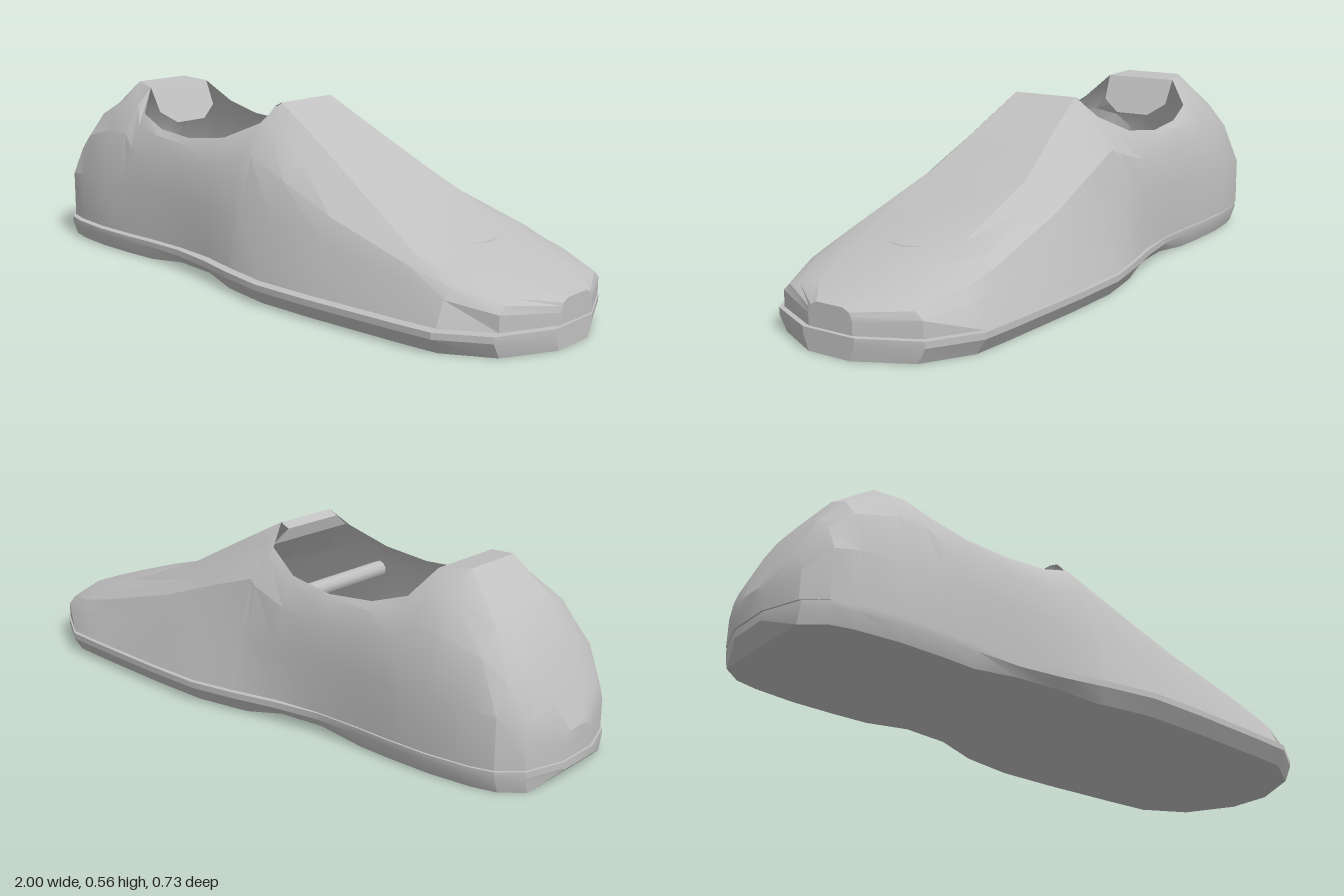
import * as THREE from 'three';
import { toCreasedNormals } from 'three/addons/utils/BufferGeometryUtils.js';

const grey = new THREE.MeshStandardMaterial({ color: 0xc0c0c0, side: THREE.DoubleSide });
grey.name = 'grey';
const { lerp } = THREE.MathUtils;

// Skin a row of cross-sections; keep(i, j) can leave out a quad
function loft(rows, keep = () => true) {
  const n = rows[0].length, index = [];
  for (let i = 0; i < rows.length - 1; i++) {
    for (let j = 0; j < n - 1; j++) {
      if (!keep(i, j)) continue;
      const a = i * n + j, b = a + n;
      index.push(a, b, a + 1, a + 1, b, b + 1);
    }
  }
  const g = new THREE.BufferGeometry();
  g.setAttribute('position', new THREE.Float32BufferAttribute(rows.flat(2), 3));
  g.setIndex(index);
  return toCreasedNormals(g, 0.4);
}

// Add flat faces at both ends by folding the end sections onto z = 0
function capped(rows) {
  const fold = (row) => row.map(([x, y]) => [x, y, 0]);
  return [fold(rows[0]), ...rows, fold(rows[rows.length - 1])];
}

// Heel to toe: x, half width at the base, then height and half width of rim and top
const stations = [
  [-1, 0.07, 0.14, 0.06, 0.15, 0.04],
  [-0.96, 0.19, 0.22, 0.15, 0.24, 0.08],
  [-0.9, 0.245, 0.35, 0.14, 0.37, 0.07],
  [-0.83, 0.265, 0.43, 0.16, 0.46, 0.09],
  [-0.7, 0.28, 0.49, 0.17, 0.55, 0.1],
  [-0.61, 0.28, 0.49, 0.18, 0.54, 0.125],
  [-0.56, 0.28, 0.43, 0.22, 0.465, 0.195],
  [-0.45, 0.275, 0.41, 0.235, 0.43, 0.215],
  [-0.3, 0.275, 0.4, 0.24, 0.42, 0.225],
  [-0.15, 0.29, 0.42, 0.23, 0.44, 0.215],
  [-0.03, 0.318, 0.475, 0.195, 0.495, 0.175],
  [0, 0.325, 0.5, 0.168, 0.555, 0.11],
  [0.15, 0.352, 0.425, 0.19, 0.475, 0.13],
  [0.35, 0.35, 0.32, 0.22, 0.365, 0.165],
  [0.65, 0.335, 0.225, 0.245, 0.245, 0.16],
  [0.78, 0.325, 0.185, 0.23, 0.21, 0.14],
  [0.92, 0.24, 0.15, 0.18, 0.165, 0.11],
  [1, 0.075, 0.13, 0.065, 0.14, 0.045],
];

// The upper leans slightly to its right
const lean = -0.008;

function upperGeometry() {
  const rows = capped(stations.map(([x, base, rimY, rimW, topY, topW]) => {
    // Waist of the side wall, where it turns inwards
    const waistY = Math.min(0.23, lerp(0.07, topY, 0.5));
    const waistW = Math.min(base, lerp(0.28, base, 0.3));
    const half = [
      [0.07, base], [waistY, waistW],
      [lerp(waistY, rimY, 0.65), lerp(waistW, rimW, 0.4)],
      [rimY, rimW], [topY, topW],
    ];
    return [
      ...half.map(([y, w]) => [x, y, w + lean]),
      ...half.reverse().map(([y, w]) => [x, y, lean - w]),
    ];
  }));
  // The foot opening lies between the heel and the tongue
  const isOpening = (i, j) => j === 4 && rows[i][0][0] > -0.62 && rows[i + 1][0][0] < 0.01;
  return loft(rows, (i, j) => !isOpening(i, j));
}

// The underside is raised at the arch and at the back of the heel
function soleBottom(x) {
  if (x < -0.99) return 0.04;
  return x > -0.44 && x < -0.1 ? 0.018 : 0;
}

function soleGeometry() {
  return loft(capped(stations.map(([x, base]) => {
    const w = base + (x > -0.2 ? 0.013 : 0.004), b = base * 0.95, y = soleBottom(x);
    return [
      [x, 0.064, -w], [x, 0.045, -w], [x, y, -b],
      [x, y, b], [x, 0.045, w], [x, 0.064, w], [x, 0.064, -w],
    ];
  })));
}

export function createModel() {
  const shoe = new THREE.Group();
  shoe.name = 'shoe';
  const add = (name, geometry) => {
    const mesh = new THREE.Mesh(geometry, grey);
    mesh.name = name;
    shoe.add(mesh);
    return mesh;
  };

  add('upper', upperGeometry());
  add('sole', soleGeometry());

  // Strips across the shoe, given as x, y and half width
  const strip = (points) => loft(points.map(([x, y, w]) => [[x, y, lean - w], [x, y, lean + w]]));

  // Floor inside the shoe, also closing the underside of the upper
  add('insole', strip(stations.map(([x, w]) => [x, 0.07, w])));

  // Lining behind the heel and lip of the tongue
  add('heelLining', strip([[-0.61, 0.54, 0.125], [-0.57, 0.46, 0.12], [-0.55, 0.42, 0.06]]));
  add('tongueLip', strip([[0, 0.555, 0.11], [-0.03, 0.54, 0.11], [-0.02, 0.5, 0.165]]));

  // Bar across the opening
  const bar = add('crossBar', new THREE.CylinderGeometry(0.025, 0.025, 0.34, 10));
  bar.position.set(-0.16, 0.38, -0.01);
  bar.rotation.x = Math.PI / 2;

  // Thin seam round the front of the vamp
  const toeSeam = new THREE.CatmullRomCurve3([-0.2, -0.12, 0, 0.12, 0.2].map((z) => {
    const x = 0.71 - 3 * z * z;
    return new THREE.Vector3(x, 0.245 - (x - 0.65) * 0.3 - z * z * 0.5, z + lean);
  }));
  add('toeSeam', new THREE.TubeGeometry(toeSeam, 30, 0.004, 4));

  return shoe;
}
